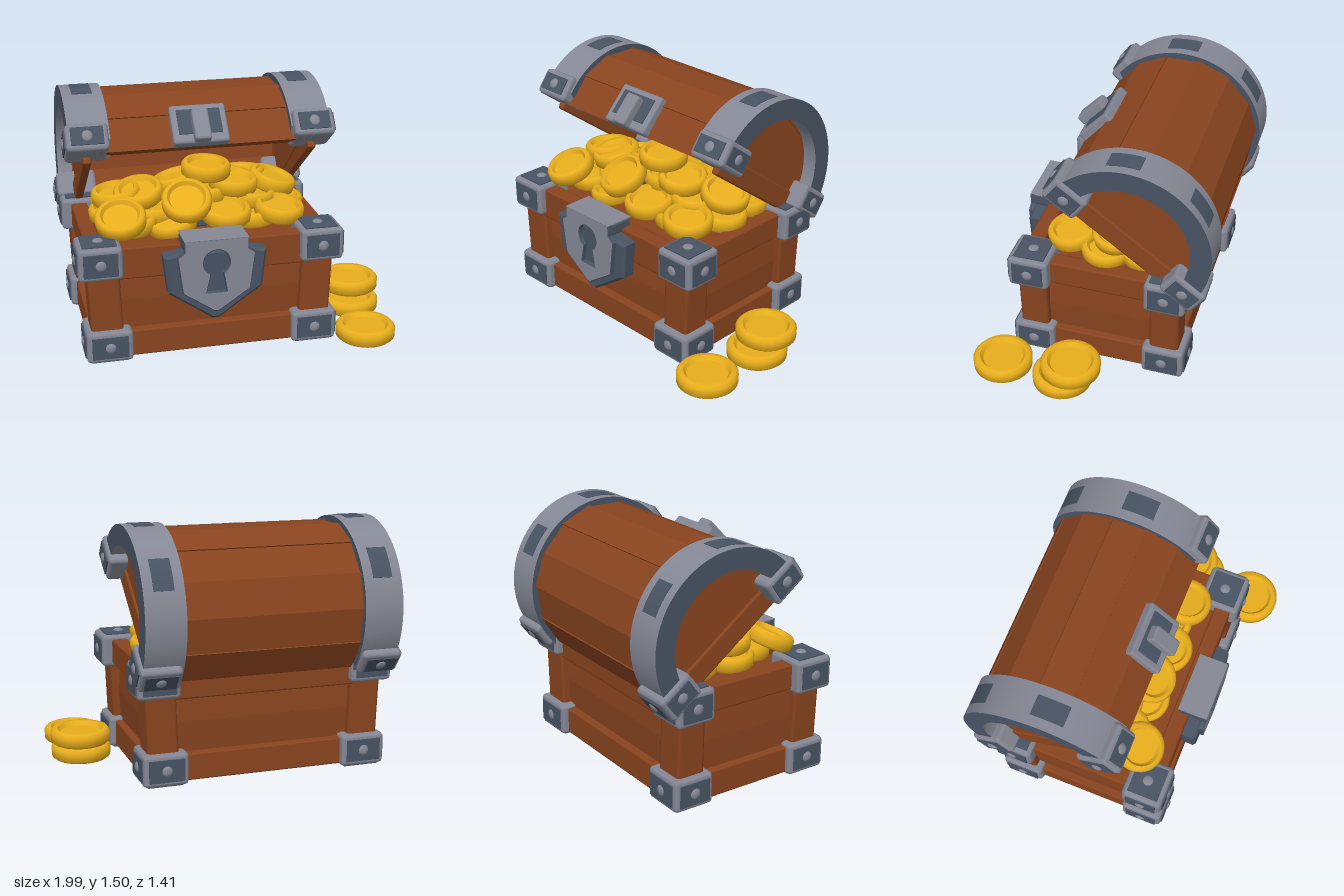
import * as THREE from 'three';
import { toCreasedNormals } from 'three/addons/utils/BufferGeometryUtils.js';
import { RoundedBoxGeometry } from 'three/addons/geometries/RoundedBoxGeometry.js';

const mat = (name, color) => {
  const m = new THREE.MeshStandardMaterial({ color });
  m.name = name;
  return m;
};

export function createModel() {
  const wood = mat('wood', 0x89441f);
  const steel = mat('light steel', 0x858895);
  const dark = mat('dark steel', 0x485363);
  const gold = mat('gold', 0xe8ae1c);

  const model = new THREE.Group();
  model.name = 'treasureChest';
  const CX = -0.175;

  const add = (parent, name, geo, material, x = 0, y = 0, z = 0) => {
    const m = new THREE.Mesh(geo, material);
    m.name = name;
    m.position.set(x, y, z);
    parent.add(m);
    return m;
  };
  const block = (parent, name, material, w, h, d, x, y, z, r = 0.012) =>
    add(parent, name, new RoundedBoxGeometry(w, h, d, 1, r), material, x, y, z);

  // extrude a side profile (z, y) along x, centred on x = 0
  const alongX = (shape, width) => {
    const g = new THREE.ExtrudeGeometry(shape, { depth: width, curveSegments: 32, bevelEnabled: false });
    g.translate(0, 0, -width / 2);
    g.rotateY(-Math.PI / 2);
    return toCreasedNormals(g, 0.6);
  };

  // arc-shaped slab about the lid's axis
  const AXIS = 0.07;
  const sector = (r0, r1, a0, a1, width, segs = 1) => {
    const s = new THREE.Shape();
    const pt = (r, a) => [r * Math.cos(a), AXIS + r * Math.sin(a)];
    s.moveTo(...pt(r1, a0));
    for (let i = 1; i <= segs; i++) s.lineTo(...pt(r1, a0 + (a1 - a0) * i / segs));
    for (let i = segs; i >= 0; i--) s.lineTo(...pt(r0, a0 + (a1 - a0) * i / segs));
    return alongX(s, width);
  };

  // corner bracket: bevelled block, dark face plates and low round studs
  const bracket = (parent, name, size, pos, dirs) => {
    const g = new THREE.Group();
    g.name = name;
    g.position.set(...pos);
    block(g, 'bracketBlock', steel, ...size, 0, 0, 0, 0.025);
    for (const [axis, sign, stud] of dirs) {
      const dims = size.map((v, i) => (i === axis ? 0.009 : v - 0.06));
      const p = [0, 0, 0];
      p[axis] = sign * (size[axis] / 2 + 0.003);
      add(g, 'bracketFace', new THREE.BoxGeometry(...dims), dark, ...p);
      if (stud) {
        const knob = add(g, 'stud', new THREE.SphereGeometry(0.034, 10, 8), steel, ...p);
        knob.scale.setComponent(axis, 0.5);
      }
    }
    parent.add(g);
  };

  // ---- base ----
  const base = new THREE.Group();
  base.name = 'base';
  base.position.set(CX, 0, -0.02);
  model.add(base);
  block(base, 'floor', wood, 1.42, 0.05, 0.96, 0, 0.04, 0);
  block(base, 'innerShelf', wood, 1.32, 0.04, 0.84, 0, 0.62, 0);
  for (const s of [-1, 1]) {
    block(base, 'longTopRail', wood, 1.4, 0.195, 0.1, 0, 0.608, s * 0.447);
    block(base, 'longBottomRail', wood, 1.4, 0.165, 0.1, 0, 0.098, s * 0.447);
    block(base, 'sideTopRail', wood, 0.1, 0.155, 0.9, s * 0.68, 0.628, 0);
    block(base, 'sideBottomRail', wood, 0.09, 0.165, 0.9, s * 0.675, 0.098, 0);
    for (const [i, y] of [0.27, 0.45].entries()) {
      const tilt = (i ? -1 : 1) * 0.06;
      block(base, 'longPlank', wood, 1.38, 0.2, 0.05, 0, y, s * 0.425).rotation.x = s * tilt;
      block(base, 'sidePlank', wood, 0.05, 0.2, 0.9, s * 0.655, y, 0).rotation.z = -s * tilt;
    }
    for (const f of [-1, 1]) {
      const post = block(base, 'cornerPost', wood, 0.19, 0.6, 0.18, s * 0.635, 0.35, f * 0.41, 0.02);
      post.rotation.z = -s * 0.04;
      bracket(base, 'topBracket', [0.26, 0.2, 0.25], [s * 0.66, 0.63, f * 0.418],
        [[0, s, 1], [2, f, 1], [1, 1, 1]]);
      bracket(base, 'bottomBracket', [0.275, 0.195, 0.26], [s * 0.62, 0.103, f * 0.408],
        [[0, s, 1], [2, f, 1], [1, -1, 0]]);
    }
  }

  // ---- lock ----
  const lock = new THREE.Group();
  lock.name = 'lock';
  lock.position.set(CX, 0, 0);
  model.add(lock);
  const poly = pts => new THREE.Shape(
    [...pts, ...pts.slice().reverse().map(([x, y]) => [-x, y])].map(p => new THREE.Vector2(...p)));
  const plate = (name, shape, material, depth, bevel, z) => add(lock, name,
    new THREE.ExtrudeGeometry(shape, {
      depth, bevelThickness: bevel, bevelSize: bevel, bevelOffset: -bevel, bevelSegments: 1,
    }), material, 0, 0, z);
  plate('lockShield', poly([[0.02, 0.25], [0.28, 0.43], [0.305, 0.66], [0.2, 0.68]]), dark, 0.07, 0.015, 0.48);
  const face = poly([[0.015, 0.31], [0.2, 0.435], [0.23, 0.66], [0.19, 0.69], [0.19, 0.76]]);
  const hole = new THREE.Path();
  hole.moveTo(-0.06, 0.43);
  hole.lineTo(-0.035, 0.55);
  hole.absarc(0, 0.615, 0.078, -2.1, -1.04, true);
  hole.lineTo(0.06, 0.43);
  hole.closePath();
  face.holes.push(hole);
  plate('lockFace', face, [steel, dark], 0.026, 0.005, 0.56);
  block(lock, 'lockTop', dark, 0.38, 0.07, 0.155, 0, 0.718, 0.487);
  block(lock, 'lockTopPlate', steel, 0.38, 0.009, 0.185, 0, 0.757, 0.498, 0.003);

  // ---- lid, swung open about its back edge ----
  const lid = new THREE.Group();
  lid.name = 'lid';
  lid.position.set(CX, 0.92, -0.15);
  lid.rotation.x = -0.6435;
  model.add(lid);
  const boards = 8, start = -0.146, step = (Math.PI - 2 * start) / boards;
  for (let i = 0; i < boards; i++) {
    const r = 0.485 + 0.008 * (i % 2);
    const a = start + i * step;
    add(lid, 'lidBoard', sector(0.385, r, a, a + step, 1.38), wood);
  }
  const arch = new THREE.Shape();
  arch.moveTo(0.515, 0);
  arch.absarc(0, AXIS, 0.515, 0, Math.PI, false);
  arch.lineTo(-0.515, 0);
  arch.lineTo(-0.39, 0);
  arch.absarc(0, AXIS, 0.39, Math.PI, 0, true);
  arch.lineTo(0.39, 0);
  const end = new THREE.Shape();
  end.moveTo(0.4, 0);
  end.absarc(0, AXIS, 0.4, 0, Math.PI, false);
  end.lineTo(-0.4, 0);
  for (const s of [-1, 1]) {
    add(lid, 'lidEndPanel', alongX(end, 0.04), wood, s * 0.665, 0, 0);
    block(lid, 'lidEndRail', wood, 0.05, 0.13, 0.84, s * 0.675, 0.025, 0);
    // dark sides and light rim
    add(lid, 'lidBand', alongX(arch, 0.24), [dark, steel], s * 0.66, 0, 0);
    for (const a of [0.89, 1.9])
      add(lid, 'bandPatch', sector(0.51, 0.519, a - 0.19, a + 0.19, 0.12, 6), dark, s * 0.66, 0, 0);
    for (const f of [-1, 1])
      bracket(lid, 'lidBracket', [0.25, 0.168, 0.235], [s * 0.675, 0.084, f * 0.435],
        [[0, s, 1], [2, f, 1]]);
  }

  // ---- hasp ----
  const hasp = new THREE.Group();
  hasp.name = 'hasp';
  hasp.position.set(-0.01, 0.125, 0.485);
  hasp.rotation.x = -0.12;
  lid.add(hasp);
  block(hasp, 'haspPlate', steel, 0.335, 0.25, 0.07, 0, 0, 0, 0.015);
  block(hasp, 'haspInset', dark, 0.26, 0.16, 0.009, 0, 0.01, 0.036, 0.003);
  block(hasp, 'haspLoop', steel, 0.1, 0.2, 0.07, 0, -0.03, 0.06, 0.015);

  // ---- coins with a raised rim ----
  const profile = [[0, -0.045], [0.163, -0.045], [0.18, -0.03], [0.182, 0.025], [0.165, 0.045],
    [0.14, 0.045], [0.122, 0.02], [0, 0.02]].map(p => new THREE.Vector2(...p));
  const coinGeo = toCreasedNormals(new THREE.LatheGeometry(profile, 28), 0.9);
  const scatter = (name, size, list) => {
    for (const [x, y, z, rx = 0, rz = 0] of list) {
      const c = add(model, name, coinGeo, gold, x, y, z);
      c.rotation.set(rx, 0, rz);
      c.scale.set(size, 1, size);
    }
  };
  scatter('looseCoin', 1, [[0.77, 0.05, 0.525], [0.8, 0.06, 0.13], [0.815, 0.175, 0.07]]);
  scatter('pileCoin', 0.83, [
    // front of the pile
    [-0.68, 0.81, 0.28, 0.4, 0.1], [-0.27, 0.86, 0.2, 0.55, 0.1], [-0.03, 0.77, 0.21, 0.15, 0],
    [0.3, 0.765, 0.21, 0.1, -0.1], [-0.36, 0.73, 0.19, 0.2, 0.2], [-0.6, 0.74, 0.16, 0.1, 0],
    [0.16, 0.72, 0.14, 0, 0.1],
    // middle and top
    [-0.11, 0.99, 0.01, 0.05, -0.05], [0.06, 0.89, 0.01, 0.1, -0.1], [0.33, 0.85, -0.08, 0.1, -0.3],
    [-0.53, 0.87, 0.02, 0.2, 0.15], [-0.28, 0.9, -0.07, -0.1, 0.25], [-0.66, 0.85, -0.03, 0, 0.1],
    [-0.1, 0.84, -0.02, 0, 0], [-0.44, 0.76, 0.05, 0, 0], [0.17, 0.8, 0.02, 0, -0.1],
    [0.36, 0.74, -0.02, 0, -0.1], [-0.68, 0.75, -0.02, 0, 0.1],
    // back of the pile
    [0.16, 0.86, -0.2, -0.1, 0], [-0.4, 0.78, -0.24, -0.2, 0.1], [0.32, 0.74, -0.25, -0.1, -0.1],
    [-0.15, 0.86, -0.21, -0.15, 0], [-0.64, 0.74, -0.25, -0.1, 0.1], [0.05, 0.74, -0.25, 0, 0],
  ]);
  block(model, 'buriedIngot', dark, 0.16, 0.18, 0.1, -0.2, 0.74, 0.07, 0.015);

  return model;
}
